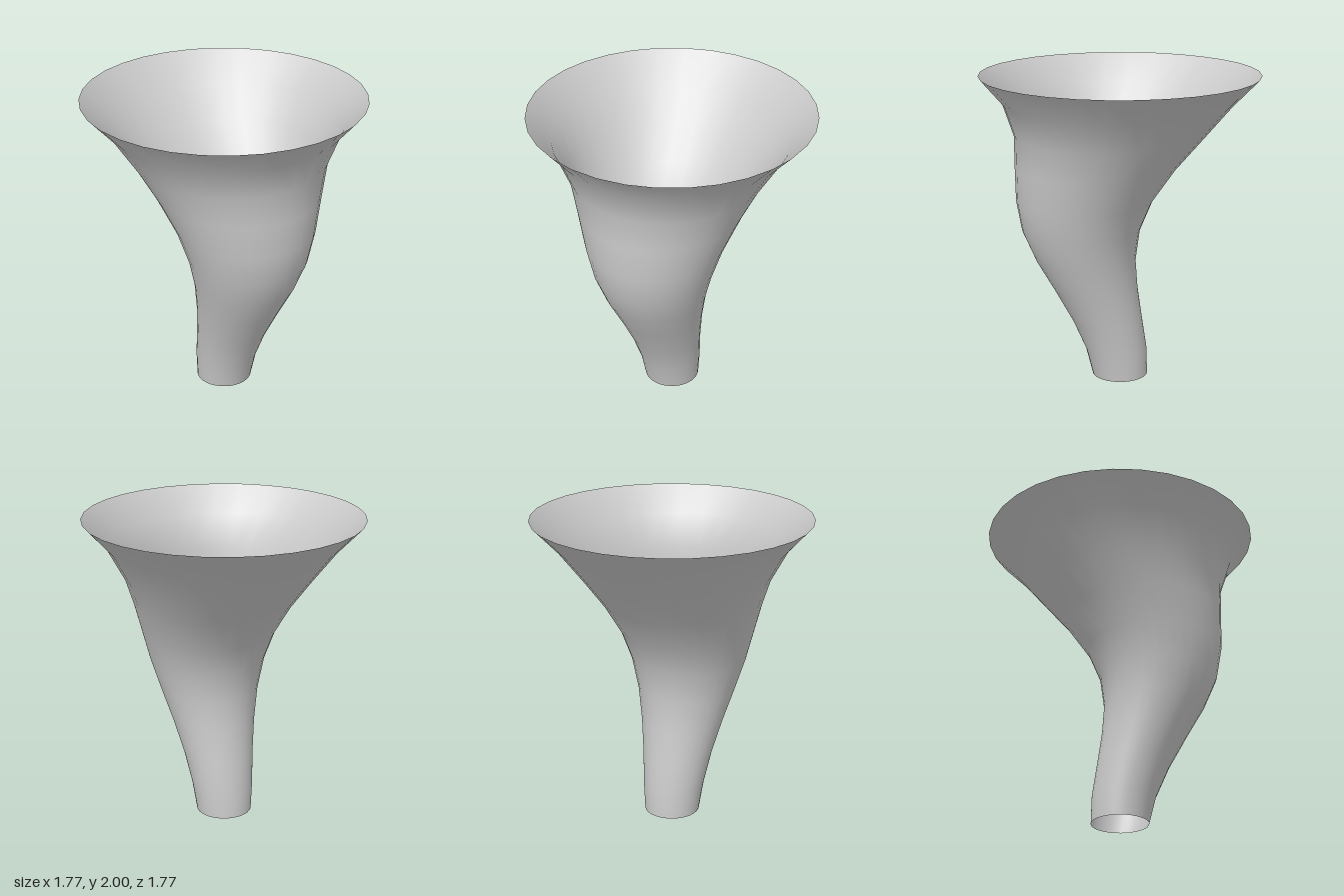
import * as THREE from 'three';
import { mergeVertices } from 'three/addons/utils/BufferGeometryUtils.js';

// Cross-sections from base to rim: [height, radius, sideways shift]
const RINGS = [
  [0, 0.18, 0], [0.18, 0.2, 0.025], [0.38, 0.228, 0.083], [0.6, 0.272, 0.158],
  [0.8, 0.322, 0.222], [1.0, 0.378, 0.252], [1.2, 0.437, 0.228], [1.42, 0.517, 0.152],
  [1.62, 0.605, 0.065], [1.83, 0.73, 0.01], [2, 0.885, 0],
];
const SIDES = 32;

export function createModel() {
  const group = new THREE.Group();
  group.name = 'flaredFunnel';

  // Turn the flare, then slide each ring along x to bow the stem
  const profile = RINGS.map(([y, r]) => new THREE.Vector2(r, y));
  let geometry = new THREE.LatheGeometry(profile, SIDES);
  const pos = geometry.attributes.position;
  for (let i = 0; i < pos.count; i++) {
    pos.setX(i, pos.getX(i) + RINGS[i % RINGS.length][2]);
  }

  // Weld the seam so the shading runs smoothly all round
  geometry.deleteAttribute('uv');
  geometry.deleteAttribute('normal');
  geometry = mergeVertices(geometry);
  geometry.computeVertexNormals();

  // Thin wall, open at both ends
  const wall = new THREE.Mesh(
    geometry,
    new THREE.MeshStandardMaterial({ color: 0xcccccc, side: THREE.DoubleSide })
  );
  wall.name = 'funnelWall';
  group.add(wall);
  return group;
}
